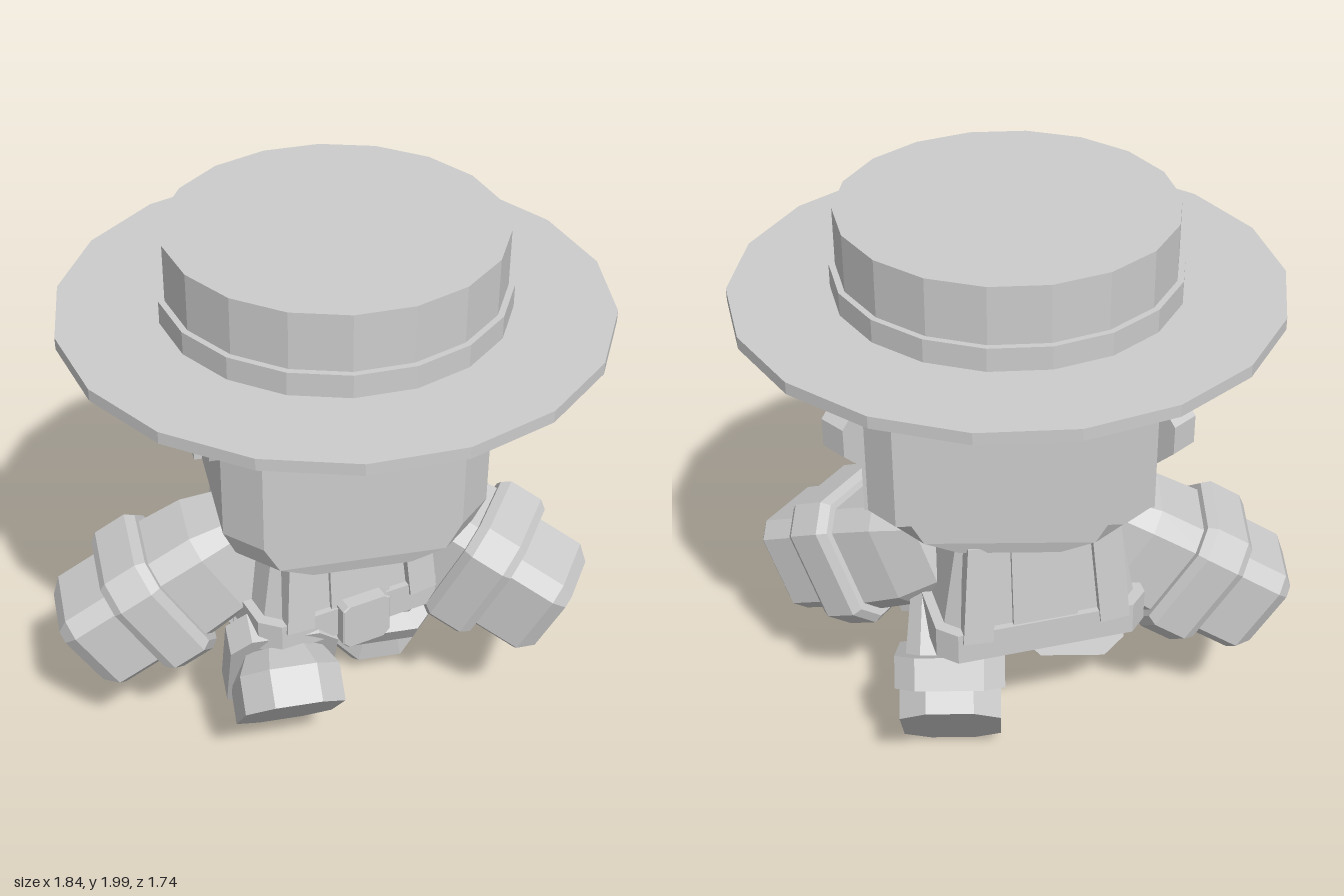
import * as THREE from 'three';

const grey = new THREE.MeshStandardMaterial({ color: 0xcccccc });
grey.name = 'plain grey';

// Stack of chamfered rectangles: [y, halfWidth, halfDepth, chamfer, zShift]
function loft(rings) {
  const loops = rings.map(([y, w, d, c, oz = 0]) =>
    [[w - c, d], [w, d - c], [w, c - d], [w - c, -d], [c - w, -d], [-w, c - d], [-w, d - c], [c - w, d]]
      .map(([x, z]) => [x, y, z + oz]));
  const out = [];
  for (let r = 0; r + 1 < loops.length; r++) {
    for (let i = 0; i < 8; i++) {
      const j = (i + 1) % 8, lo = loops[r], hi = loops[r + 1];
      out.push(...lo[i], ...lo[j], ...hi[j], ...lo[i], ...hi[j], ...hi[i]);
    }
  }
  const bottom = loops[0], top = loops[loops.length - 1];
  for (let i = 1; i < 7; i++) {
    out.push(...top[0], ...top[i], ...top[i + 1]);
    out.push(...bottom[0], ...bottom[i + 1], ...bottom[i]);
  }
  const g = new THREE.BufferGeometry();
  g.setAttribute('position', new THREE.Float32BufferAttribute(out, 3));
  g.computeVertexNormals();
  return g;
}

function add(parent, name, geometry, x = 0, y = 0, z = 0) {
  const g = geometry.index ? geometry.toNonIndexed() : geometry;
  g.computeVertexNormals();
  const m = new THREE.Mesh(g, grey);
  m.name = name;
  m.position.set(x, y, z);
  parent.add(m);
  return m;
}

function group(parent, name, x = 0, y = 0, z = 0) {
  const g = new THREE.Group();
  g.name = name;
  g.position.set(x, y, z);
  parent.add(g);
  return g;
}

const plate = (points, depth) => new THREE.ExtrudeGeometry(
  new THREE.Shape(points.map(([x, y]) => new THREE.Vector2(x, y))), { depth, bevelEnabled: false });

function buildHat(root) {
  const hat = group(root, 'hat', 0.035, 0, 0);
  hat.rotation.y = THREE.MathUtils.degToRad(13);
  for (const [name, r, y0, y1] of [['hatBrim', 0.876, 1.695, 1.735], ['hatBand', 0.555, 1.735, 1.812], ['hatCrown', 0.535, 1.812, 2]]) {
    add(hat, name, new THREE.CylinderGeometry(r, r, y1 - y0, 18), 0, (y0 + y1) / 2, 0);
  }
}

function buildHead(root) {
  const head = group(root, 'head', 0.037, 0, 0);
  add(head, 'face', loft([[0.985, 0.3, 0.42, 0.14], [1.03, 0.39, 0.43, 0.12], [1.12, 0.43, 0.43, 0.11], [1.7, 0.43, 0.43, 0.11]]));
  add(head, 'hairTop', loft([[1.57, 0.45, 0.45, 0.115], [1.7, 0.455, 0.462, 0.12]]));
  add(head, 'hairBack', loft([[1.12, 0.455, 0.16, 0.1, -0.3], [1.7, 0.455, 0.16, 0.1, -0.3]]));

  // Scalloped fringe
  const fringe = [[-0.32, 1.6], [-0.31, 1.5], [-0.21, 1.47], [-0.14, 1.5], [-0.11, 1.57], [-0.07, 1.48], [0.02, 1.44],
    [0.12, 1.48], [0.15, 1.57], [0.2, 1.5], [0.27, 1.47], [0.32, 1.5], [0.33, 1.6]];
  add(head, 'fringe', plate(fringe, 0.025), 0, 0, 0.428);

  // Hair around the temples, and the ears
  const side = [[0.32, 1.7], [0.32, 1.57], [0.27, 1.37], [0.15, 1.33], [0, 1.31], [-0.09, 1.31], [-0.09, 1.12], [-0.37, 1.12], [-0.37, 1.7]];
  for (const s of [-1, 1]) {
    const hair = add(head, 'sideHair', plate(side.map(([z, y]) => [-z, y]), 0.037), s > 0 ? 0.42 : -0.457, 0, 0);
    hair.rotation.y = Math.PI / 2;
    const ear = add(head, 'ear',
      new THREE.CylinderGeometry(0.13, 0.13, 0.1, 8).rotateY(Math.PI / 8).rotateX(Math.PI / 2), s * 0.47, 1.3, -0.145);
    ear.rotation.y = s * Math.PI / 4;
  }
}

function buildBody(root) {
  const body = group(root, 'body', 0, 0, -0.08);
  body.rotation.y = THREE.MathUtils.degToRad(15);
  add(body, 'torso', loft([[0.66, 0.33, 0.3, 0.06], [1.0, 0.27, 0.27, 0.06]]));
  add(body, 'belt', loft([[0.565, 0.36, 0.32, 0.06], [0.68, 0.36, 0.32, 0.06]]));
  add(body, 'buckle', loft([[0.53, 0.07, 0.03, 0.005], [0.55, 0.09, 0.03, 0.005], [0.69, 0.09, 0.03, 0.005], [0.705, 0.07, 0.03, 0.005]]), 0, 0, 0.33);

  // Braces and centre panel, front and back
  for (const f of [-1, 1]) {
    const panel = add(body, 'centrePanel', new THREE.BoxGeometry(0.22, 0.36, 0.03), 0, 0.82, f * 0.285);
    panel.rotation.x = -f * 0.09;
    for (const s of [-1, 1]) {
      const strap = add(body, 'brace', new THREE.BoxGeometry(0.1, 0.36, 0.06), s * 0.22, 0.82, f * 0.285);
      strap.rotation.set(-f * 0.09, 0, s * 0.08);
    }
  }
}

function buildArm(root, name, start, direction) {
  const arm = group(root, name, ...start);
  const y = new THREE.Vector3(...direction).normalize();
  // Local x stays level so that the sleeve's upper face looks up
  const x = new THREE.Vector3(0, 1, 0).cross(y).normalize();
  const z = new THREE.Vector3().crossVectors(x, y);
  arm.quaternion.setFromRotationMatrix(new THREE.Matrix4().makeBasis(x, y, z));
  add(arm, 'sleeve', loft([[-0.06, 0.13, 0.14, 0.04], [0.1, 0.17, 0.19, 0.06], [0.3, 0.18, 0.2, 0.06]]));
  add(arm, 'cuff', loft([[0.26, 0.2, 0.22, 0.07], [0.29, 0.22, 0.24, 0.08], [0.41, 0.22, 0.24, 0.08], [0.44, 0.2, 0.22, 0.07]]));
  add(arm, 'hand', loft([[0.42, 0.17, 0.18, 0.05], [0.61, 0.17, 0.18, 0.05], [0.66, 0.13, 0.14, 0.03]]));
  add(arm, 'shoulderTab', new THREE.BoxGeometry(0.18, 0.14, 0.06), 0, 0.13, 0.2);
}

function buildLeg(root, name, sole, degrees) {
  const leg = group(root, name, ...sole);
  leg.rotation.x = THREE.MathUtils.degToRad(degrees);
  add(leg, 'boot', loft([[0, 0.17, 0.255, 0.09], [0.13, 0.17, 0.255, 0.09], [0.21, 0.13, 0.2, 0.07, -0.03]]));
  // Ankle leans back from the sole
  const upper = group(leg, 'upperLeg', 0, 0.21, -0.06);
  upper.rotation.x = THREE.MathUtils.degToRad(-19);
  add(upper, 'bootCuff', loft([[-0.06, 0.185, 0.245, 0.07], [0.05, 0.185, 0.245, 0.07]]));
  add(upper, 'trouserLeg', loft([[0.03, 0.15, 0.18, 0.05], [0.27, 0.13, 0.14, 0.04]]));
}

export function createModel() {
  const root = new THREE.Group();
  root.name = 'figure';
  buildHat(root);
  buildHead(root);
  buildBody(root);
  buildArm(root, 'leftArm', [0.29, 0.81, -0.1], [0.76, -0.42, 0.48]);
  buildArm(root, 'rightArm', [-0.29, 0.82, -0.02], [-0.85, -0.51, 0]);
  buildLeg(root, 'rightLeg', [-0.19, 0.315, 0.335], -49);
  buildLeg(root, 'leftLeg', [0.24, 0.205, -0.375], 51.5);
  return root;
}
